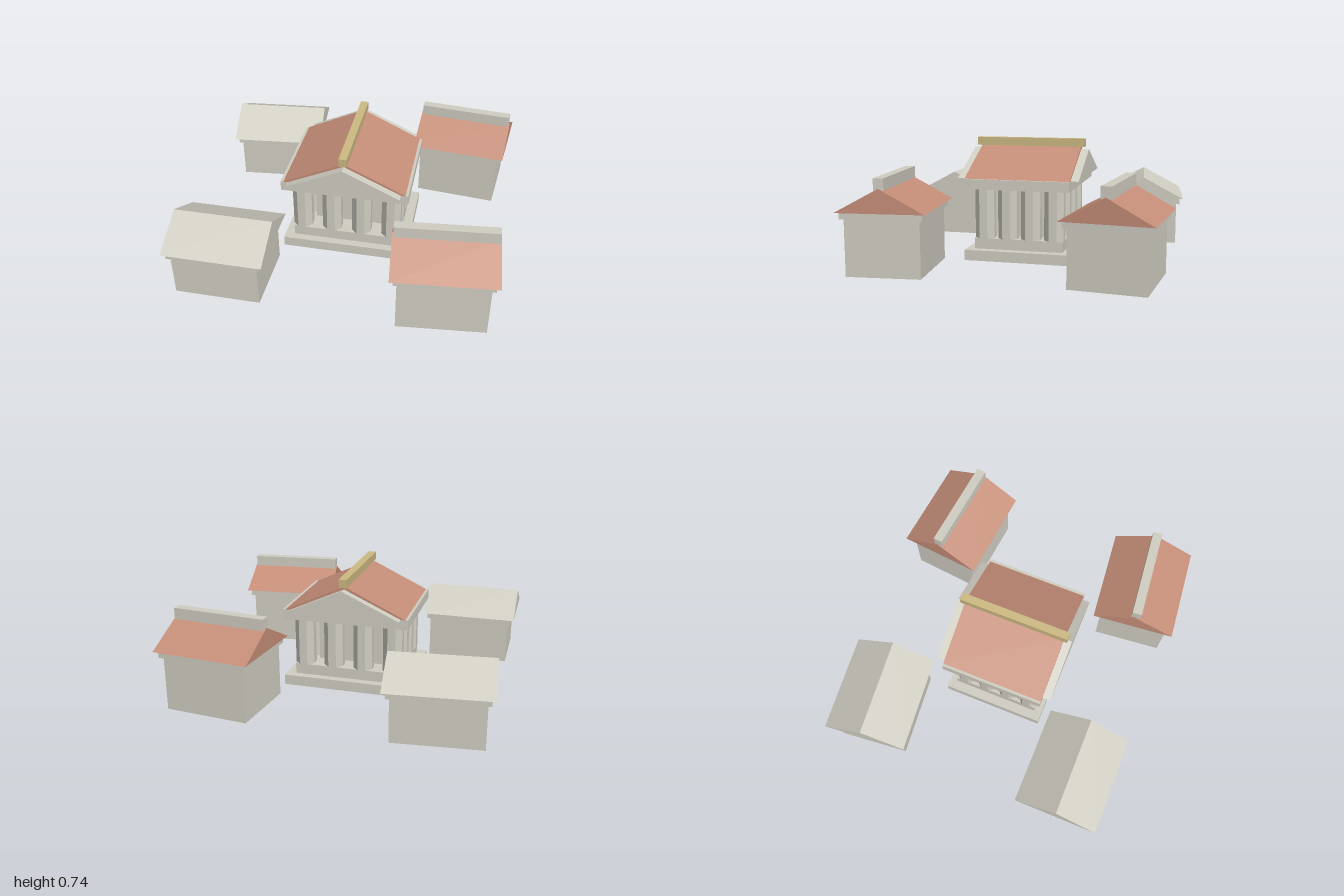
import * as THREE from 'three';

const mat = (name, color) => {
  const m = new THREE.MeshStandardMaterial({ color });
  m.name = name;
  return m;
};

export function createModel() {
  const stone = mat('pale stone', 0xd0cdc2);
  const tile = mat('terracotta tile', 0xc58e78);
  const gold = mat('gold', 0xcdb982);
  const model = new THREE.Group();
  model.name = 'templePrecinct';

  const add = (parent, name, geometry, material, x = 0, y = 0, z = 0) => {
    const mesh = new THREE.Mesh(geometry, material);
    mesh.name = name;
    mesh.position.set(x, y, z);
    parent.add(mesh);
    return mesh;
  };
  // Box resting on height y0
  const block = (parent, name, material, w, y0, y1, d) =>
    add(parent, name, new THREE.BoxGeometry(w, y1 - y0, d), material, 0, (y0 + y1) / 2, 0);
  // Triangular prism with its ridge along z, base at y = 0
  const gable = (w, h, d) => {
    const s = new THREE.Shape([
      new THREE.Vector2(-w / 2, 0), new THREE.Vector2(w / 2, 0), new THREE.Vector2(0, h)]);
    return new THREE.ExtrudeGeometry(s, { depth: d, bevelEnabled: false }).translate(0, 0, -d / 2);
  };

  // Central temple: stepped base, inner chamber, entablature
  const temple = new THREE.Group();
  temple.name = 'temple';
  model.add(temple);
  block(temple, 'lowerStep', stone, 0.8, 0, 0.065, 0.66);
  block(temple, 'upperStep', stone, 0.68, 0.065, 0.132, 0.56);
  block(temple, 'innerChamber', stone, 0.44, 0.132, 0.447, 0.3);
  block(temple, 'entablature', stone, 0.8, 0.447, 0.51, 0.66);

  // Ring of faceted columns, four on each side
  const shaft = new THREE.CylinderGeometry(0.066, 0.066, 0.315, 8).rotateY(Math.PI / 8).toNonIndexed();
  shaft.computeVertexNormals();
  for (let i = 0; i < 4; i++) {
    for (let j = 0; j < 4; j++) {
      if (i % 3 && j % 3) continue;
      add(temple, 'column', shaft, stone, -0.288 + i * 0.192, 0.2895, -0.221 + j * 0.1473);
    }
  }

  // Temple roof with a pediment at each end and a gold ridge beam
  add(temple, 'templeRoof', gable(0.765, 0.18, 0.66), tile, 0, 0.51, 0);
  for (const s of [-1, 1]) add(temple, 'pediment', gable(0.71, 0.163, 0.05), stone, 0, 0.51, s * 0.355);
  block(temple, 'ridgeBeam', gold, 0.05, 0.688, 0.74, 0.71);

  // Small corner buildings; the tiled ones are taller and carry a ridge cap
  const building = (x, z, turn, eave, tiled) => {
    const g = new THREE.Group();
    g.name = tiled ? 'tiledBuilding' : 'stoneBuilding';
    g.position.set(x, 0, z);
    g.rotation.y = turn;
    model.add(g);
    block(g, 'walls', stone, 0.53, 0, eave - 0.04, 0.443);
    block(g, 'cornice', stone, 0.57, eave - 0.04, eave, 0.485);
    add(g, 'roof', gable(0.528, 0.142, 0.615).rotateY(Math.PI / 2), tiled ? tile : stone, 0, eave, 0);
    if (tiled) block(g, 'ridgeCap', stone, 0.6, eave + 0.13, eave + 0.2, 0.06);
  };
  building(0.664, 0.662, 0.1, 0.377, true);
  building(0.664, -0.666, -0.1, 0.377, true);
  building(-0.667, 0.66, 0, 0.312, false);
  building(-0.667, -0.667, 0.1, 0.312, false);

  return model;
}
